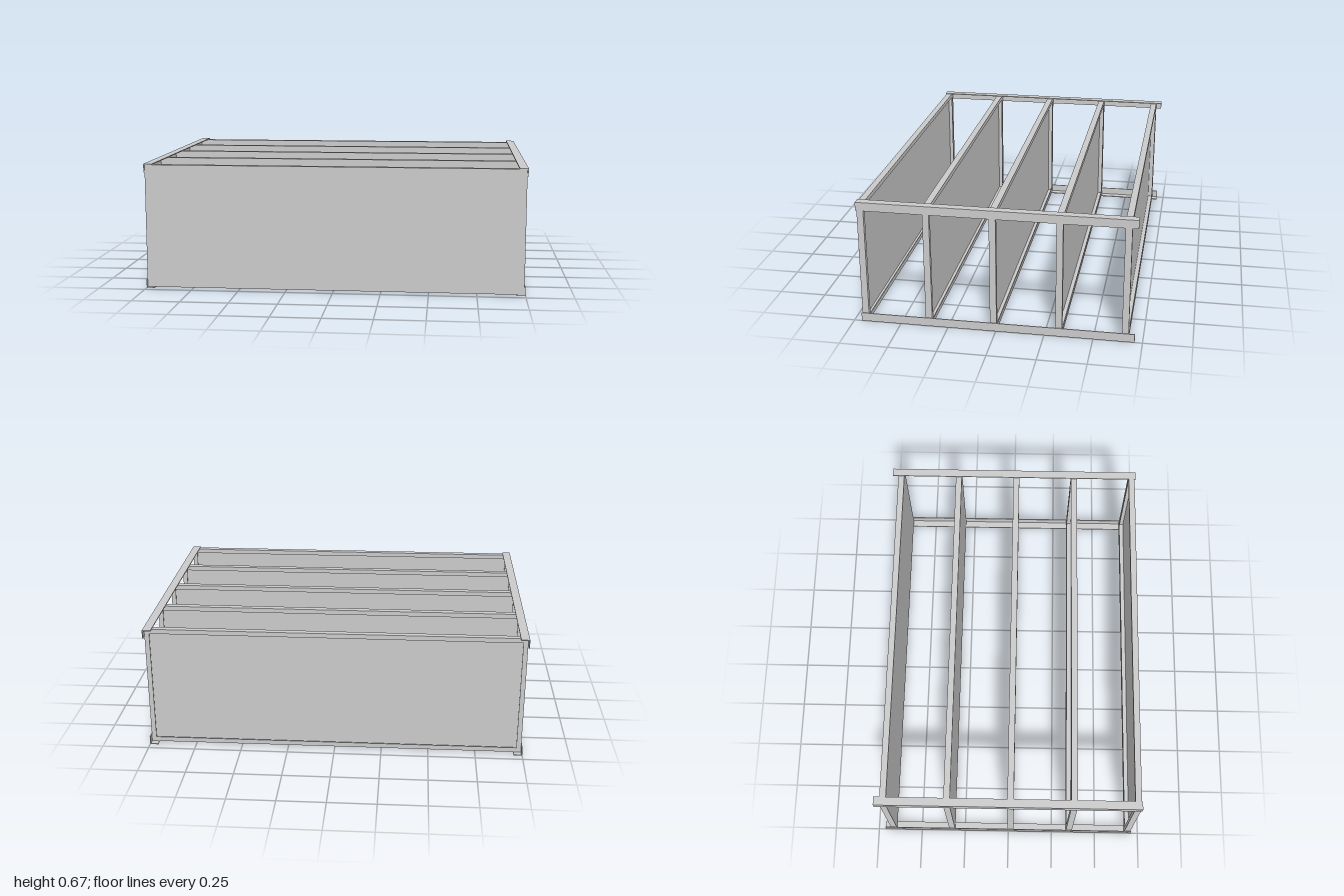
import * as THREE from 'three';

const H = 0.665, DEPTH = 1.42, LEG = 0.045, T = 0.005;
const material = new THREE.MeshStandardMaterial({ color: 0xcccccc, flatShading: true });

function add(parent, name, geometry, x = 0, y = 0, z = 0) {
  const mesh = new THREE.Mesh(geometry, material);
  mesh.name = name;
  mesh.position.set(x, y, z);
  parent.add(mesh);
  return mesh;
}

// Rectangular ring in the xy plane, extruded along z
function ring(w, h, border, depth) {
  const rect = (P, a, b) => new P([[-a, -b], [a, -b], [a, b], [-a, b]].map(p => new THREE.Vector2(...p)));
  const shape = rect(THREE.Shape, w / 2, h / 2);
  shape.holes.push(rect(THREE.Path, w / 2 - border, h / 2 - border));
  return new THREE.ExtrudeGeometry(shape, { depth, bevelEnabled: false });
}

// Angle rail with its outer corner at (sx, sy), opening towards the centre
function angleRail(sx, sy) {
  const points = [[0, 0], [LEG, 0], [LEG, T], [T, T], [T, LEG], [0, LEG]];
  const shape = new THREE.Shape(points.map(([a, b]) =>
    new THREE.Vector2(sx * (1 - a), sy * (H / 2 - b))));
  return new THREE.ExtrudeGeometry(shape, { depth: DEPTH, bevelEnabled: false });
}

// Pan panel: flat face at the front, flanges and return lips behind
function panel() {
  const g = new THREE.Group();
  const w = 2 - 2 * T, h = H - 2 * T, sheet = 0.006, fold = 0.034;
  add(g, 'panelFace', new THREE.BoxGeometry(w, h, sheet), 0, 0, -sheet / 2);
  add(g, 'panelFlanges', ring(w, h, T, fold - sheet), 0, 0, -fold);
  add(g, 'panelReturnLips', ring(w - 2 * T, h - 2 * T, 0.02, T), 0, 0, -fold);
  return g;
}

export function createModel() {
  const model = new THREE.Group();
  model.name = 'panelRack';

  // Four angle rails running front to back
  for (const sx of [-1, 1]) for (const sy of [-1, 1]) {
    const name = (sy > 0 ? 'upper' : 'lower') + (sx > 0 ? 'Left' : 'Right') + 'Rail';
    add(model, name, angleRail(sx, sy), 0, H / 2, -DEPTH / 2);
  }

  // Five evenly spaced panels, all facing forward
  for (let i = 0; i < 5; i++) {
    const p = panel();
    p.name = 'panel' + (i + 1);
    p.position.set(0, H / 2, 0.705 - i * 0.3375);
    model.add(p);
  }
  return model;
}
